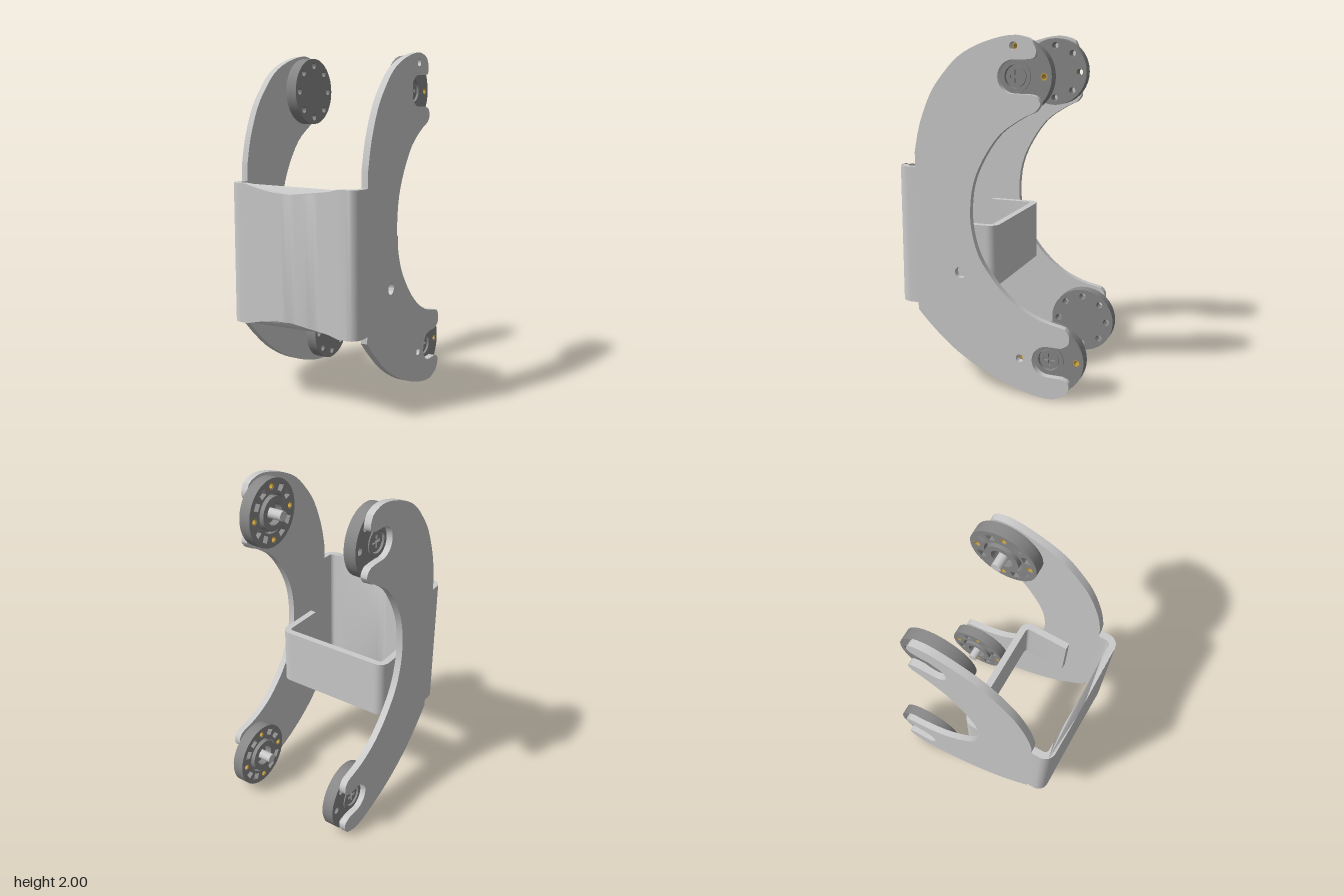
import * as THREE from 'three';
import { toCreasedNormals } from 'three/addons/utils/BufferGeometryUtils.js';

const metal = new THREE.MeshStandardMaterial({ color: 0xcccccc });
const dark = new THREE.MeshStandardMaterial({ color: 0x888888 });
const brass = new THREE.MeshStandardMaterial({ color: 0xc8a040 });

const JOINTS = [[-0.155, 1.785], [-0.355, 0.22]]; // z, y of the two pivots
const V = (x, y) => new THREE.Vector2(x, y);

function add(group, name, geometry, material) {
  const mesh = new THREE.Mesh(geometry, material);
  mesh.name = name;
  group.add(mesh);
  return mesh;
}

// Shape drawn in (z, y), extruded along x between x0 and x1
function slab(shape, x0, x1) {
  const geo = new THREE.ExtrudeGeometry(shape, { depth: Math.abs(x1 - x0), bevelEnabled: false, curveSegments: 20 });
  geo.rotateY(-Math.PI / 2).translate(Math.max(x0, x1), 0, 0);
  return toCreasedNormals(geo, 0.5);
}

function circle(r, x = 0, y = 0, Type = THREE.Shape) {
  const path = new Type();
  path.absarc(x, y, r, 0, Math.PI * 2, false);
  return path;
}
const hole = (r, x, y) => circle(r, x, y, THREE.Path);

function ring(outer, ...holes) {
  const s = circle(outer);
  s.holes.push(...holes);
  return s;
}

// Holes evenly spaced on a circle
const boltHoles = (n, r, size) => Array.from({ length: n }, (_, i) => {
  const a = (i / n) * Math.PI * 2;
  return hole(size, Math.cos(a) * r, Math.sin(a) * r);
});

const spline = (pts, n) => new THREE.SplineCurve(pts.map((p) => V(...p))).getPoints(n);

// Open-ended slot between two rounded lobes
function forkTip([cz, cy], upper, lower) {
  const arc = [];
  for (let i = 0; i <= 12; i++) {
    const a = Math.PI / 2 - (i / 12) * Math.PI;
    arc.push(V(cz + 0.09 * Math.cos(a), cy + 0.09 * Math.sin(a)));
  }
  const move = ([z, y]) => [cz + z, cy + y];
  return [...spline(upper.map(move), 10), ...arc, ...spline(lower.map(move), 10)];
}

function armShape(withHoles) {
  const outerTop = spline([[0.435, 1.36], [0.4, 1.52], [0.33, 1.69], [0.25, 1.8], [0.16, 1.89], [0.05, 1.95],
    [-0.08, 1.99], [-0.17, 2], [-0.235, 1.985]], 24);
  const inner = spline([[-0.26, 1.595], [-0.2, 1.565], [-0.08, 1.48], [0.02, 1.34], [0.08, 1.2], [0.1, 1.05],
    [0.09, 0.92], [0.05, 0.79], [-0.02, 0.68], [-0.1, 0.59], [-0.2, 0.51], [-0.32, 0.455], [-0.43, 0.43]], 36);
  const outerBottom = spline([[-0.42, 0.015], [-0.36, 0], [-0.25, 0.015], [-0.1, 0.06], [0.06, 0.13], [0.22, 0.23],
    [0.35, 0.345], [0.435, 0.435]], 22);
  const shape = new THREE.Shape([
    ...outerTop,
    ...forkTip(JOINTS[0], [[-0.105, 0.185], [-0.125, 0.14], [-0.115, 0.1], [-0.07, 0.09]],
      [[-0.07, -0.09], [-0.125, -0.1], [-0.15, -0.14], [-0.125, -0.18]]),
    ...inner,
    ...forkTip(JOINTS[1], [[-0.1, 0.203], [-0.125, 0.17], [-0.122, 0.12], [-0.08, 0.09]],
      [[-0.08, -0.09], [-0.122, -0.11], [-0.125, -0.15], [-0.1, -0.19]]),
    ...outerBottom,
  ]);
  if (withHoles) shape.holes.push(hole(0.033, 0.165, 0.685), hole(0.022, -0.155, 1.945), hole(0.022, -0.193, 0.22));
  return shape;
}

// U-shaped strip in plan: half width w, face at z = face, legs ending at z = end
function channel(w, face, end, r, t, y0, y1, waist) {
  const dir = Math.sign(face - end);
  const half = (hw, f, rad) => {
    const pts = [V(hw, end)];
    for (let i = 0; i <= 6; i++) {
      const a = (i / 6) * Math.PI / 2;
      pts.push(V(hw - rad + rad * Math.cos(a), f + dir * (rad * Math.sin(a) - rad)));
    }
    for (let i = 10; i > 0; i--) pts.push(V(0.3 * i / 10, f));
    return pts;
  };
  const whole = (p) => [...p, V(0, p[p.length - 1].y), ...p.slice().reverse().map((q) => V(-q.x, q.y))];
  const pts = [...whole(half(w, face, r)), ...whole(half(w - t, face - dir * t, r - t)).reverse()];
  const shape = new THREE.Shape(pts.map((p) => V(p.x, -p.y)));
  const geo = new THREE.ExtrudeGeometry(shape, { depth: y1 - y0, bevelEnabled: false });
  geo.rotateX(-Math.PI / 2).translate(0, y0, 0);
  // Hollow the upper and lower edges towards the middle
  const p = geo.attributes.position;
  for (let i = 0; i < p.count; i++) {
    const dip = waist * Math.max(0, 1 - (p.getX(i) / 0.3) ** 2);
    p.setY(i, p.getY(i) + (p.getY(i) > (y0 + y1) / 2 ? -dip : dip));
  }
  geo.computeVertexNormals();
  return toCreasedNormals(geo, 0.5);
}

// Cross recess of the screw head
function crossPath(l, w) {
  const pts = [];
  for (let i = 0; i < 4; i++) {
    const a = i * Math.PI / 2;
    for (const [x, y] of [[w, w], [w, l], [-w, l]]) pts.push(V(x, y).rotateAround(V(0, 0), a));
  }
  return new THREE.Path(pts);
}

// Pockets around the inner face of the driven horn
function pockets() {
  const list = [];
  for (let i = 0; i < 12; i++) {
    if (i % 3 === 0) continue;
    const a = i * Math.PI / 6;
    list.push(new THREE.Path([[0.13, -0.022], [0.17, -0.026], [0.17, 0.026], [0.13, 0.022]]
      .map((q) => V(...q).rotateAround(V(0, 0), a))));
  }
  return list;
}

function rod(r, x0, x1, sides = 20) {
  return new THREE.CylinderGeometry(r, r, Math.abs(x1 - x0), sides).rotateZ(Math.PI / 2).translate((x0 + x1) / 2, 0, 0);
}

function makeHorn(side, driven) {
  const g = new THREE.Group();
  g.name = driven ? 'drivenHorn' : 'idlerHorn';
  const n = driven ? 4 : 8;
  add(g, 'hornDisc', slab(ring(0.2, hole(0.062), ...boltHoles(n, 0.157, 0.02)), side * 0.335, side * 0.375), dark);
  add(g, 'hornBoss', slab(ring(0.085, hole(0.062)), side * 0.37, side * 0.382), dark);
  add(g, 'screwHead', slab(ring(0.056, crossPath(0.035, 0.008)), side * 0.355, side * 0.372), dark);
  add(g, 'screwBase', rod(0.063, side * 0.335, side * 0.355), dark);
  if (driven) {
    add(g, 'pocketRing', slab(ring(0.2, hole(0.115), ...boltHoles(4, 0.157, 0.02), ...pockets()), side * 0.305, side * 0.335), dark);
    add(g, 'innerCollar', slab(ring(0.1, hole(0.065)), side * 0.29, side * 0.336), dark);
    add(g, 'shaft', rod(0.03, side * 0.23, side * 0.34, 12), metal);
    // Brass liners in the through holes
    for (let i = 0; i < 4; i++) {
      const a = i * Math.PI / 2;
      add(g, 'brassLiner', slab(ring(0.021, hole(0.014)), side * 0.308, side * 0.372), brass)
        .position.set(0, Math.sin(a) * 0.157, Math.cos(a) * 0.157);
    }
  } else {
    add(g, 'plainFace', slab(ring(0.2, ...boltHoles(8, 0.157, 0.02)), side * 0.305, side * 0.335), dark);
  }
  return g;
}

export function createModel() {
  const model = new THREE.Group();
  model.name = 'jointBracket';

  // Side arms with a horn at each end
  for (const side of [1, -1]) {
    add(model, side > 0 ? 'leftArm' : 'rightArm', slab(armShape(side > 0), side * 0.375, side * 0.415), metal);
    for (const [z, y] of JOINTS) {
      const horn = makeHorn(side, side > 0);
      horn.position.set(0, y, z);
      model.add(horn);
    }
  }

  // Front plate joining the arms, and the smaller rear brace
  add(model, 'frontPlate', channel(0.415, 0.552, 0.43, 0.065, 0.04, 0.475, 1.275, 0.045), metal);
  add(model, 'rearBrace', channel(0.375, -0.037, 0.277, 0.06, 0.04, 0.61, 0.96, 0), metal);
  return model;
}
